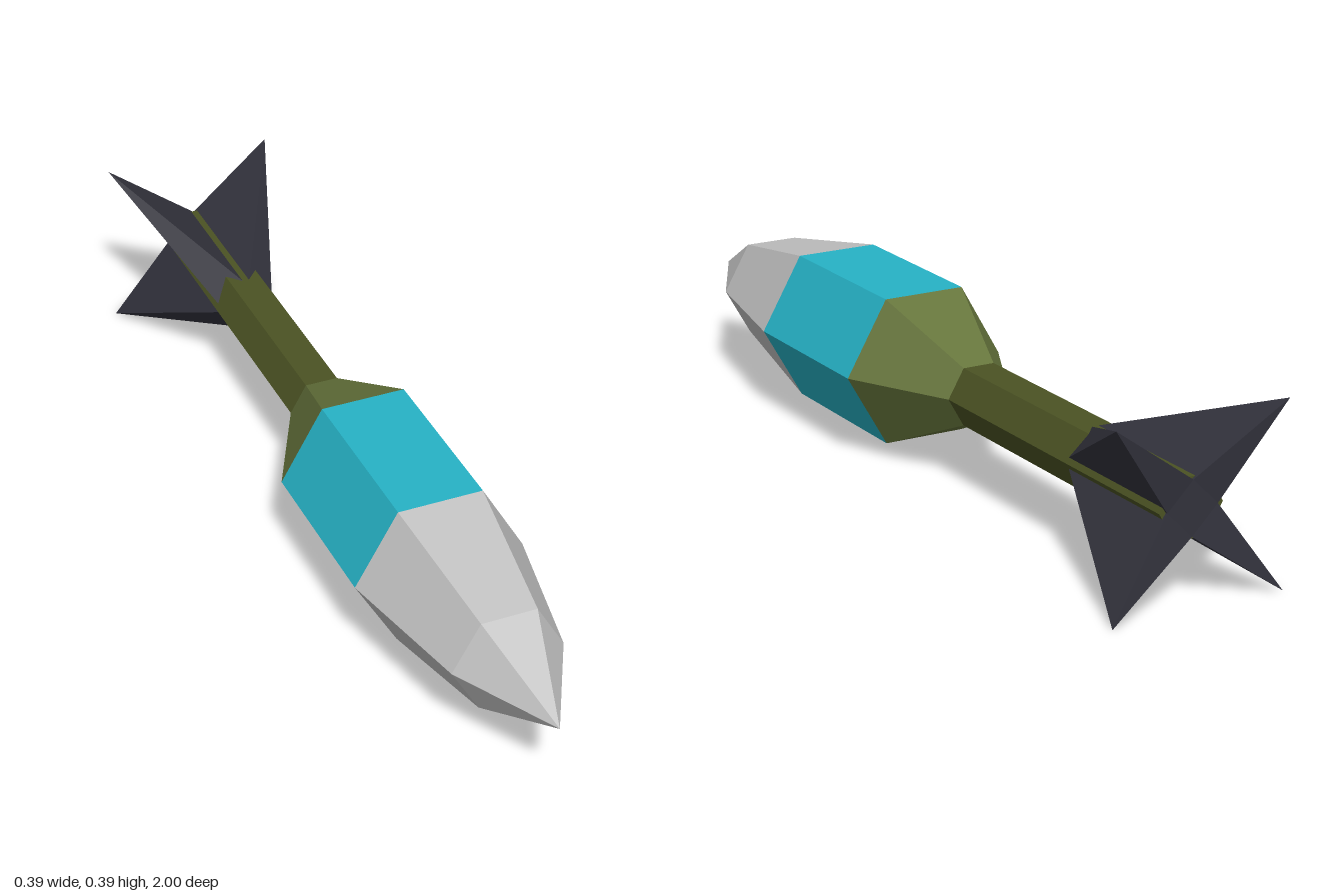
import * as THREE from 'three';

const AXIS_Y = 0.197;

function flat(name, color) {
  const m = new THREE.MeshStandardMaterial({ color, flatShading: true });
  m.name = name;
  return m;
}

export function createModel() {
  const grey = flat('light grey', 0xc2c2c2);
  const teal = flat('teal', 0x26b2c6);
  const olive = flat('olive', 0x66753c);
  const darkOlive = flat('dark olive', 0x4b5323);
  const charcoal = flat('charcoal', 0x32323c);

  const model = new THREE.Group();
  model.name = 'finnedProjectile';

  // Six-sided section along z; profile is [z, radius] from rear to nose
  const section = (name, material, profile) => {
    const points = profile.map(([z, r]) => new THREE.Vector2(r, z));
    const geometry = new THREE.LatheGeometry(points, 6, Math.PI / 2);
    geometry.rotateX(Math.PI / 2);
    const mesh = new THREE.Mesh(geometry, material);
    mesh.name = name;
    mesh.position.y = AXIS_Y;
    model.add(mesh);
  };

  section('noseCone', grey, [[0.445, 0.188], [0.77, 0.122], [1, 0]]);
  section('bodyBand', teal, [[0.05, 0.188], [0.445, 0.188]]);
  section('rearTaper', olive, [[-0.18, 0.073], [0.05, 0.188]]);
  section('tailBoom', darkOlive, [[-0.965, 0], [-0.965, 0.073], [-0.18, 0.073]]);

  // Wedge fin: a wide root on the boom drawn out to a swept-back point
  const w = 0.058, front = -0.615, rear = -0.97, tip = 0.197;
  const finGeometry = new THREE.BufferGeometry();
  finGeometry.setAttribute('position', new THREE.Float32BufferAttribute([
    w, 0, front, 0, w, front,
    w, 0, rear, 0, w, rear,
    tip, tip, -1, 0, 0, rear,
  ], 3));
  finGeometry.setIndex([
    0, 4, 1, // leading face
    0, 2, 4, 1, 4, 3, // sides
    2, 3, 4, 5, 3, 2, // trailing face and quarter of the tail cap
  ]);
  finGeometry.computeVertexNormals();

  const fins = new THREE.Group();
  fins.name = 'tailFins';
  fins.position.y = AXIS_Y;
  for (let i = 0; i < 4; i++) {
    const fin = new THREE.Mesh(finGeometry, charcoal);
    fin.name = `fin${i + 1}`;
    fin.rotation.z = i * Math.PI / 2;
    fins.add(fin);
  }
  model.add(fins);

  return model;
}
